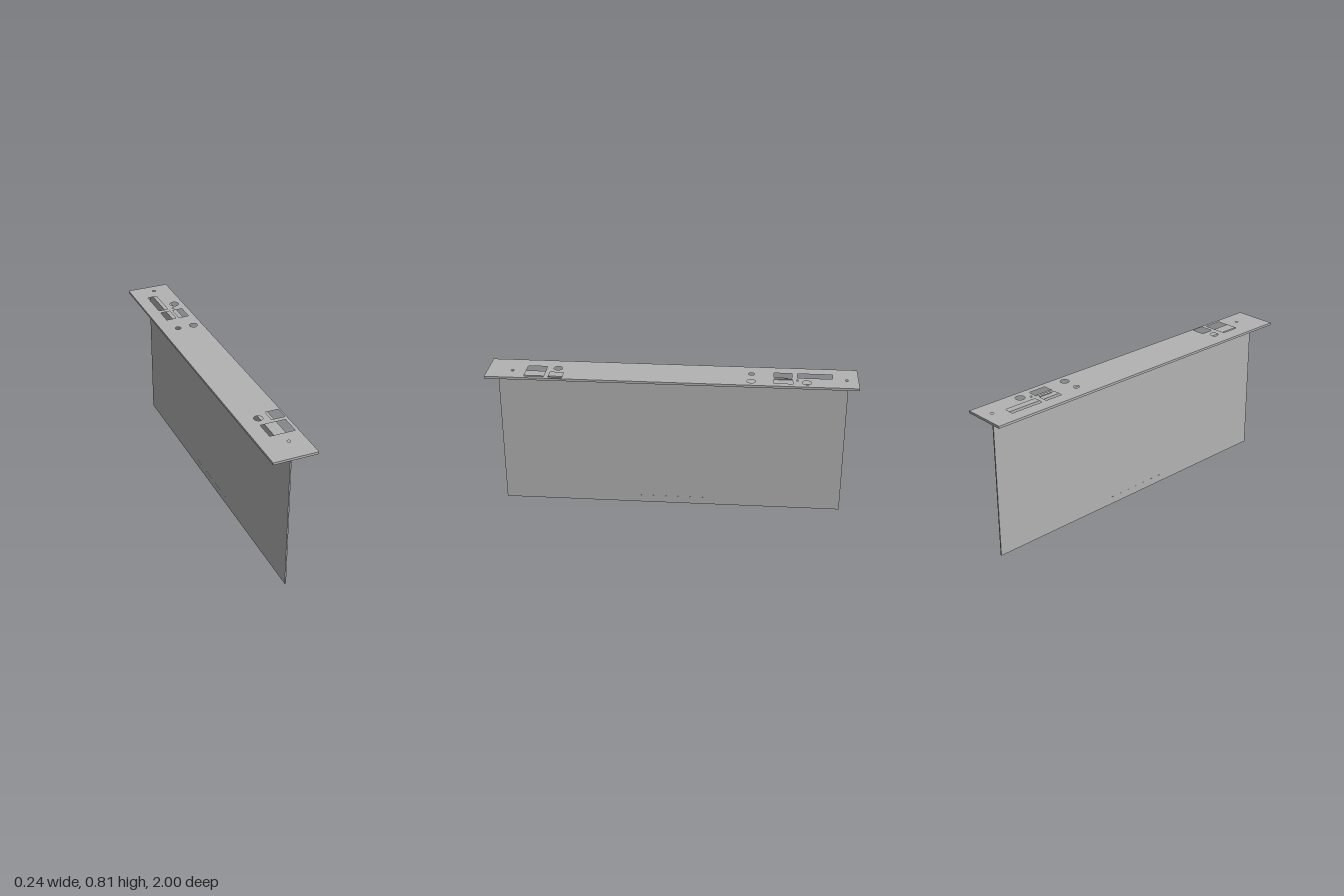
import * as THREE from 'three';

export function createModel() {
  const group = new THREE.Group();
  const metal = new THREE.MeshStandardMaterial({ color: 0xb3b3b3 });
  metal.name = 'plain grey metal';

  const add = (name, geometry) => {
    const mesh = new THREE.Mesh(geometry, metal);
    mesh.name = name;
    group.add(mesh);
  };
  const box = (name, x0, x1, y0, y1, halfZ) => {
    const g = new THREE.BoxGeometry(x1 - x0, y1 - y0, halfZ * 2);
    g.translate((x0 + x1) / 2, (y0 + y1) / 2, 0);
    add(name, g);
  };
  // Rectangle outline in plan, from x and z limits
  const rect = (path, x0, x1, z0, z1) => {
    path.moveTo(x0, -z0);
    path.lineTo(x1, -z0);
    path.lineTo(x1, -z1);
    path.lineTo(x0, -z1);
    path.closePath();
    return path;
  };

  // Top plate with connector cut-outs
  const plate = rect(new THREE.Shape(), -0.12, 0.12, -1, 1);
  const windows = [
    [-0.048, 0.007, -0.863, -0.677],
    [-0.048, 0.009, -0.648, -0.55],
    [0.027, 0.085, -0.65, -0.55],
    [0.037, 0.111, 0.582, 0.656],
    [-0.037, 0.101, 0.682, 0.788],
  ];
  for (const w of windows) plate.holes.push(rect(new THREE.Path(), ...w));
  // Round holes: x, z, radius
  const rounds = [
    [0.019, -0.937, 0.009],
    [0.066, -0.725, 0.025],
    [0.04, -0.675, 0.006],
    [-0.026, -0.43, 0.016],
    [0.068, -0.43, 0.023],
    [-0.018, 0.62, 0.023],
    [0.029, 0.863, 0.009],
  ];
  for (const [x, z, r] of rounds) {
    plate.holes.push(new THREE.Path().absarc(x, -z, r, 0, Math.PI * 2, true));
  }
  const plateGeo = new THREE.ExtrudeGeometry(plate, {
    depth: 0.013, bevelEnabled: false, curveSegments: 16,
  });
  plateGeo.rotateX(-Math.PI / 2);
  plateGeo.translate(0, 0.794, 0);
  add('topPlate', plateGeo);

  // Upright sheet and the flange folded under the plate
  box('uprightPanel', -0.0045, 0.0025, 0, 0.794, 0.95);
  box('foldedFlange', 0.0025, 0.06, 0.787, 0.794, 0.95);

  // Barely raised tab at the middle of the lower edge
  box('lowerTab', -0.0049, 0.0029, 0, 0.043, 0.215);

  return group;
}
